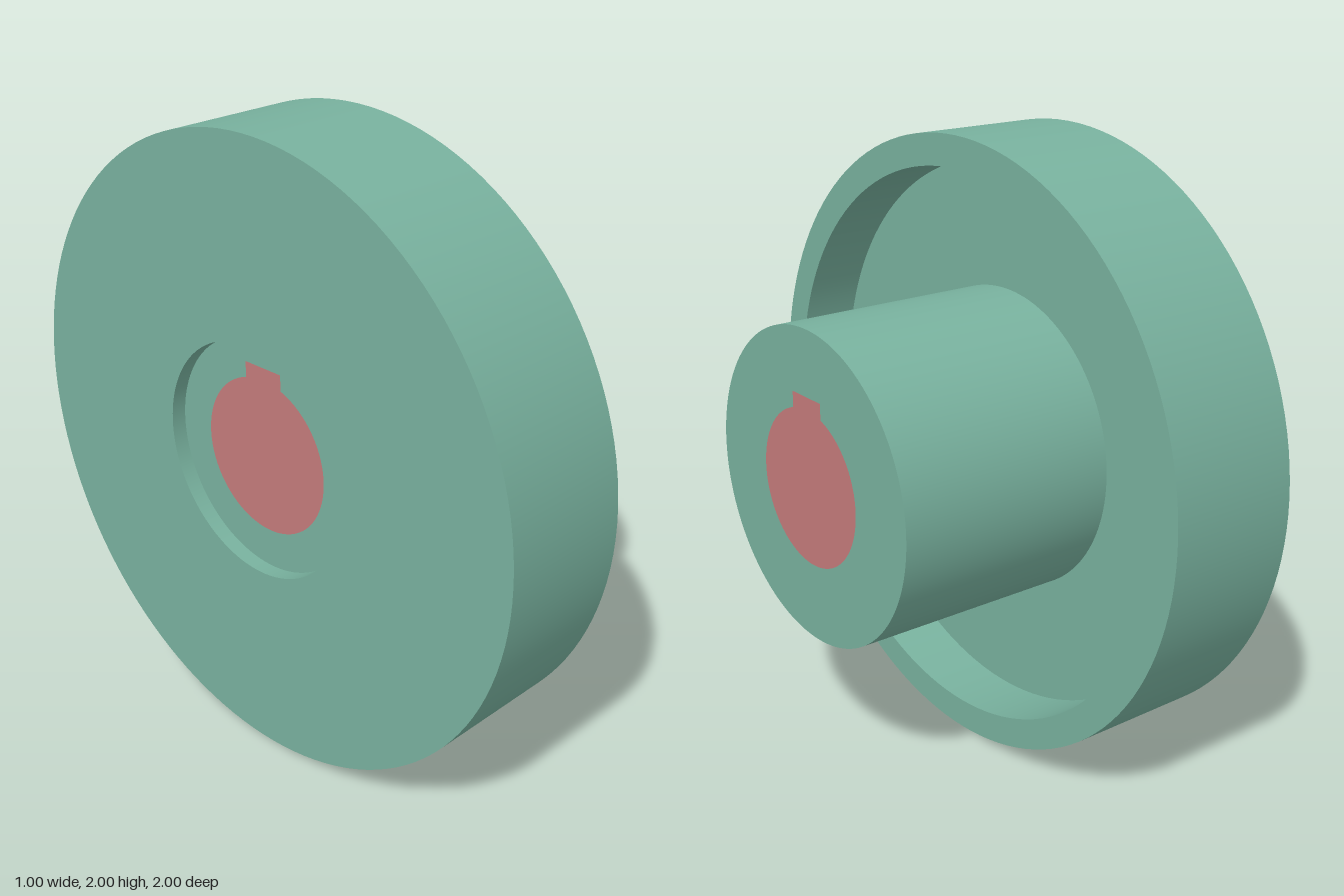
import * as THREE from 'three';
import { mergeGeometries } from 'three/addons/utils/BufferGeometryUtils.js';

const SEG = 128;

// Round outline with a rectangular key on top
function keyedOutline(Type) {
  const r = 0.25, half = 0.075, top = 0.29;
  const a = Math.asin(half / r);
  const p = new Type();
  p.moveTo(half, top);
  p.lineTo(-half, top);
  p.absarc(0, 0, r, Math.PI / 2 + a, Math.PI * 2.5 - a, false);
  p.closePath();
  return p;
}

// Flat disc with a keyed hole, facing along +x (dir 1) or -x (dir -1)
function keyedRing(radius, x, dir) {
  const shape = new THREE.Shape();
  shape.absarc(0, 0, radius, 0, Math.PI * 2, false);
  shape.holes.push(keyedOutline(THREE.Path));
  return new THREE.ShapeGeometry(shape, SEG / 2).rotateY(dir * Math.PI / 2).translate(x, 0, 0);
}

// Turned surface around the x axis; each segment is separate so edges stay sharp
function turned(profile) {
  const parts = [];
  for (let i = 0; i < profile.length - 1; i++) {
    const pts = [profile[i], profile[i + 1]].map(([x, r]) => new THREE.Vector2(r, x));
    parts.push(new THREE.LatheGeometry(pts, SEG).rotateZ(-Math.PI / 2));
  }
  return mergeGeometries(parts);
}

export function createModel() {
  const green = new THREE.MeshStandardMaterial({ name: 'sage green', color: 0x78b19e });
  const red = new THREE.MeshStandardMaterial({ name: 'dusty red', color: 0xc47b7b });

  const model = new THREE.Group();
  model.name = 'flangedHub';
  const add = (name, geometry, material) => {
    const mesh = new THREE.Mesh(geometry, material);
    mesh.name = name;
    mesh.position.y = 1;
    model.add(mesh);
  };

  // Flange with back recess and front groove: [x, radius]
  add('flange', turned([
    [-0.45, 0.375], [-0.5, 0.375], [-0.5, 1], [-0.05, 1],
    [-0.05, 0.9], [-0.25, 0.9], [-0.25, 0.5],
  ]), green);
  add('recessFloor', keyedRing(0.375, -0.45, -1), green);

  // Hub barrel and end face
  add('hubBarrel', turned([[-0.25, 0.5], [0.5, 0.5]]), green);
  add('hubEndFace', keyedRing(0.5, 0.5, 1), green);

  // Keyed shaft core, flush at both ends
  const core = new THREE.ExtrudeGeometry(keyedOutline(THREE.Shape), {
    depth: 0.95, bevelEnabled: false, curveSegments: SEG / 2,
  }).rotateY(Math.PI / 2).translate(-0.45, 0, 0);
  add('keyedCore', core, red);

  return model;
}
